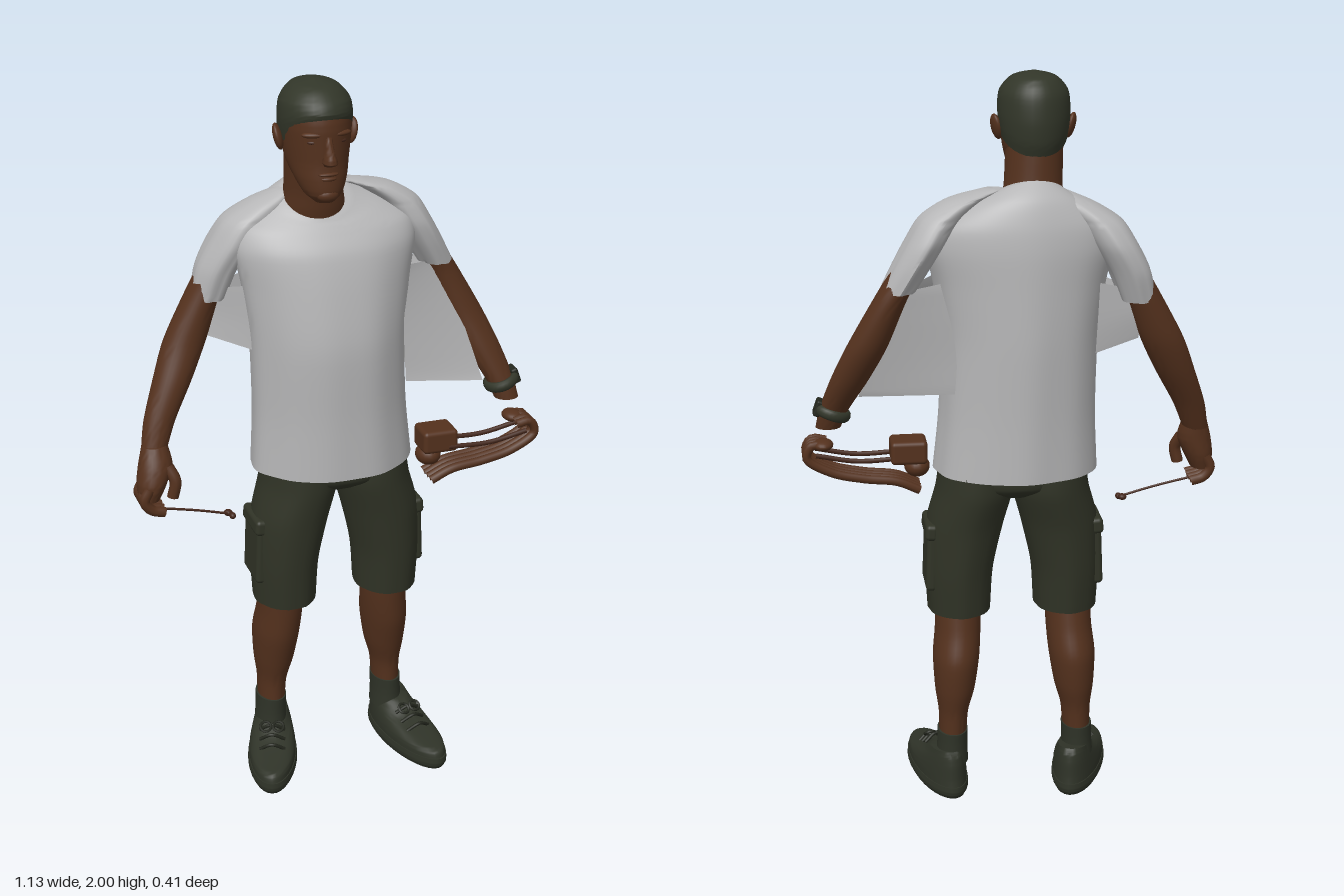
import * as THREE from 'three';
import { toCreasedNormals } from 'three/addons/utils/BufferGeometryUtils.js';
import { RoundedBoxGeometry } from 'three/addons/geometries/RoundedBoxGeometry.js';

const mat = (name, color, side = THREE.FrontSide) => {
  const m = new THREE.MeshStandardMaterial({ color, side });
  m.name = name;
  return m;
};

export function createModel() {
  const root = new THREE.Group();
  root.name = 'man';
  const skin = mat('skin', 0x54311d);
  const skinDark = mat('dark skin', 0x43261a);
  const cloth = mat('shirt white', 0xb6b6b7, THREE.DoubleSide);
  const olive = mat('shorts olive', 0x303326);
  const hairMat = mat('hair olive', 0x323629);
  const shoeMat = mat('shoe olive', 0x2f3328);
  const trimMat = mat('trim dark', 0x23261d);

  const add = (name, geo, material, parent = root) => {
    const m = new THREE.Mesh(geo, material);
    m.name = name;
    parent.add(m);
    return m;
  };

  // Smooth body through elliptical rings [x, y, z, rx, rz, tilt], listed upward
  function loft(rings, { sides = 32, steps = 5, ripple = 0 } = {}) {
    const pos = [], idx = [], n = (rings.length - 1) * steps;
    const curve = new THREE.CatmullRomCurve3(rings.map(r => new THREE.Vector3(r[0], r[1], r[2])), false, 'catmullrom', 0.4);
    const radii = new THREE.CatmullRomCurve3(rings.map(r => new THREE.Vector3(r[3], r[4], r[5] || 0)), false, 'catmullrom', 0.4);
    for (let i = 0; i <= n; i++) {
      const c = curve.getPoint(i / n), r = radii.getPoint(i / n);
      for (let j = 0; j < sides; j++) {
        const a = (j / sides) * Math.PI * 2;
        const w = 1 + ripple * (1 - i / n) * (Math.sin(7 * a) + 0.6 * Math.sin(11 * a + 1));
        const dz = Math.sin(a) * r.y * w;
        pos.push(c.x + Math.cos(a) * r.x * w, c.y + r.z * dz, c.z + dz);
      }
    }
    for (let i = 0; i < n; i++) for (let j = 0; j < sides; j++) {
      const k = (j + 1) % sides, a = i * sides + j, b = i * sides + k;
      idx.push(a, a + sides, b, b, a + sides, b + sides);
    }
    const lo = pos.length / 3, top = n * sides, last = rings[rings.length - 1];
    pos.push(...rings[0].slice(0, 3), ...last.slice(0, 3));
    for (let j = 0; j < sides; j++) {
      const k = (j + 1) % sides;
      idx.push(lo, j, k, lo + 1, top + k, top + j);
    }
    const g = new THREE.BufferGeometry();
    g.setAttribute('position', new THREE.Float32BufferAttribute(pos, 3));
    g.setIndex(idx);
    return toCreasedNormals(g, 1);
  }
  const mirror = (s, rings) => rings.map(([x, ...rest]) => [x * s, ...rest]);
  const path = pts => new THREE.CatmullRomCurve3(pts.map(p => new THREE.Vector3(...p)));
  const tube = (pts, r, seg = 20) => new THREE.TubeGeometry(path(pts), seg, r, 8);
  const ball = (name, p, s, material) => {
    const m = add(name, new THREE.SphereGeometry(1, 20, 14), material);
    m.position.set(...p);
    m.scale.set(...s);
    return m;
  };
  // Ruled sheet stretched between two edge curves
  function sheet(edgeA, edgeB, n = 10) {
    const A = path(edgeA), B = path(edgeB), pos = [], idx = [];
    for (let i = 0; i <= n; i++) pos.push(...A.getPoint(i / n).toArray(), ...B.getPoint(i / n).toArray());
    for (let i = 0; i < n; i++) idx.push(2 * i, 2 * i + 2, 2 * i + 1, 2 * i + 1, 2 * i + 2, 2 * i + 3);
    const g = new THREE.BufferGeometry();
    g.setAttribute('position', new THREE.Float32BufferAttribute(pos, 3));
    g.setIndex(idx);
    g.computeVertexNormals();
    return g;
  }

  // Head, neck and hair
  const X = -0.06;
  add('neck', loft([[-0.05, 1.6, -0.05, 0.085, 0.085], [-0.052, 1.66, -0.035, 0.083, 0.083], [-0.055, 1.71, -0.025, 0.077, 0.08],
    [X, 1.81, -0.008, 0.075, 0.088]]), skin);
  add('head', loft([[X, 1.7, 0.085, 0.025, 0.025], [X, 1.722, 0.07, 0.05, 0.056], [X, 1.76, 0.047, 0.068, 0.08],
    [X, 1.8, 0.018, 0.08, 0.106], [X, 1.85, 0.013, 0.087, 0.112], [X, 1.9, 0.01, 0.091, 0.115],
    [X, 1.95, 0.005, 0.086, 0.104], [X, 1.985, 0, 0.05, 0.06]]), skin);
  add('hair', loft([[X, 1.842, 0.008, 0.088, 0.105, 0.5], [X, 1.872, 0.007, 0.093, 0.115, 0.42], [X, 1.905, 0.006, 0.095, 0.118, 0.22],
    [X, 1.95, 0.004, 0.089, 0.107, 0.05], [X, 1.985, 0, 0.058, 0.074], [X, 2, 0, 0.004, 0.004]]), hairMat);
  add('nose', loft([[X, 1.802, 0.128, 0.014, 0.012], [X, 1.812, 0.132, 0.019, 0.028], [X, 1.835, 0.125, 0.013, 0.026],
    [X, 1.875, 0.115, 0.009, 0.012]], { sides: 16 }), skin);
  ball('upperLip', [X, 1.778, 0.119], [0.027, 0.006, 0.012], skin);
  ball('lowerLip', [X, 1.766, 0.117], [0.023, 0.007, 0.013], skin);
  ball('chin', [X, 1.722, 0.108], [0.03, 0.02, 0.022], skin);
  for (const s of [-1, 1]) {
    ball('brow', [X + s * 0.037, 1.879, 0.107], [0.03, 0.008, 0.013], skin).rotation.y = s * 0.3;
    ball('eye', [X + s * 0.037, 1.86, 0.108], [0.016, 0.005, 0.007], skinDark).rotation.y = s * 0.3;
    const ear = ball('ear', [X + s * 0.098, 1.855, 0.005], [0.012, 0.035, 0.024], skin);
    ear.rotation.set(-0.15, s * 0.35, -s * 0.2);
  }

  // Shirt body, sloping shoulders with sleeves, and stretched cloth under the arms
  add('shirtBody', loft([[-0.01, 0.935, -0.022, 0.224, 0.176], [-0.015, 1.1, -0.022, 0.212, 0.175], [-0.02, 1.3, -0.022, 0.212, 0.177],
    [-0.02, 1.45, -0.032, 0.23, 0.163], [-0.02, 1.55, -0.043, 0.25, 0.148], [-0.02, 1.61, -0.053, 0.235, 0.128, -0.08],
    [-0.03, 1.655, -0.05, 0.165, 0.107, -0.3], [-0.047, 1.684, -0.031, 0.09, 0.077, -0.62]], { sides: 64, ripple: 0.01 }), cloth);
  add('rightSleeve', loft([[-0.325, 1.41, -0.1, 0.048, 0.058], [-0.3, 1.49, -0.1, 0.056, 0.077], [-0.262, 1.56, -0.095, 0.06, 0.088],
    [-0.222, 1.62, -0.085, 0.061, 0.08], [-0.165, 1.665, -0.075, 0.05, 0.06], [-0.105, 1.7, -0.065, 0.03, 0.03]], { ripple: 0.04 }), cloth);
  add('leftSleeve', loft([[0.308, 1.45, -0.09, 0.047, 0.066], [0.268, 1.52, -0.088, 0.052, 0.082], [0.233, 1.58, -0.085, 0.054, 0.088],
    [0.193, 1.64, -0.08, 0.055, 0.075], [0.13, 1.682, -0.072, 0.048, 0.055], [0.055, 1.705, -0.062, 0.03, 0.03]], { ripple: 0.04 }), cloth);
  const leftEdge = [[0.33, 1.44, -0.1], [0.36, 1.34, -0.06], [0.395, 1.2, 0], [0.41, 1.125, 0.04]];
  add('leftClothFront', sheet([[0.2, 1.47, 0], [0.17, 1.32, 0.06], [0.17, 1.17, 0.08]], leftEdge), cloth);
  add('leftClothBack', sheet([[0.2, 1.47, -0.12], [0.165, 1.32, -0.12], [0.155, 1.17, -0.12]], leftEdge), cloth);
  const rightEdge = [[-0.34, 1.43, -0.1], [-0.335, 1.37, -0.1], [-0.33, 1.3, -0.09]];
  for (const z of [0, -0.12])
    add('rightCloth', sheet([[-0.22, 1.46, z], [-0.215, 1.36, z], [-0.21, 1.27, z]], rightEdge), cloth);

  // Arms
  add('rightArm', loft([[-0.508, 1.02, -0.012, 0.034, 0.03], [-0.483, 1.1, -0.035, 0.043, 0.036], [-0.437, 1.2, -0.065, 0.053, 0.047],
    [-0.393, 1.3, -0.09, 0.058, 0.05], [-0.335, 1.43, -0.1, 0.046, 0.052], [-0.275, 1.54, -0.1, 0.042, 0.06]]), skin);
  add('leftArm', loft([[0.495, 1.055, 0.008, 0.034, 0.032], [0.478, 1.11, -0.008, 0.04, 0.036], [0.437, 1.2, -0.045, 0.051, 0.046],
    [0.39, 1.3, -0.08, 0.054, 0.05], [0.328, 1.43, -0.1, 0.044, 0.05], [0.255, 1.55, -0.09, 0.04, 0.06]]), skin);

  // Right hand holding a thin rod
  add('rightPalm', loft([[-0.53, 0.9, 0.012, 0.028, 0.04], [-0.522, 0.94, 0.01, 0.04, 0.049], [-0.508, 0.99, 0.002, 0.046, 0.043],
    [-0.505, 1.04, -0.012, 0.035, 0.03]]), skin);
  for (let i = 0; i < 4; i++) {
    const z = -0.025 + i * 0.024;
    add('rightFinger', tube([[-0.535, 0.94, z], [-0.55, 0.905, z], [-0.532, 0.878, z], [-0.497, 0.867, z]], 0.0145), skin);
  }
  add('rightThumb', tube([[-0.48, 0.99, 0.025], [-0.464, 0.95, 0.04], [-0.472, 0.905, 0.04]], 0.016), skin);
  add('rod', tube([[-0.52, 0.868, 0.014], [-0.4, 0.842, 0.014], [-0.31, 0.818, 0.014]], 0.0035), skinDark);
  ball('rodKnob', [-0.312, 0.818, 0.006], [0.012, 0.009, 0.012], skinDark);
  ball('rodKnob', [-0.304, 0.815, 0.022], [0.009, 0.009, 0.012], skinDark);

  // Wrist watch
  const watch = new THREE.Group();
  watch.name = 'watch';
  watch.position.set(0.483, 1.1, -0.003);
  watch.rotation.z = 0.35;
  root.add(watch);
  const band = add('watchBand', new THREE.TorusGeometry(0.04, 0.011, 10, 28), hairMat, watch);
  band.rotation.x = Math.PI / 2;
  band.scale.z = 1.4;
  add('watchCase', new RoundedBoxGeometry(0.02, 0.045, 0.045, 2, 0.006), trimMat, watch).position.x = 0.04;

  // Left hand: long stretched fingers, thin bars and a block of palm
  for (let i = 0; i < 4; i++) {
    const z = 0.01 + i * 0.022;
    add('longFinger', tube([[0.5, 0.995, z], [0.54, 1.0, z], [0.555, 0.965, z], [0.49, 0.922, z], [0.4, 0.9, z],
      [0.31, 0.888, z], [0.25, 0.862, z]], 0.0125, 40), skin);
  }
  for (const z of [0.01, 0.075])
    add('thinBar', tube([[0.3, 0.955, z], [0.42, 0.952, z], [0.53, 0.972, z]], 0.007), skinDark);
  add('leftPalm', new RoundedBoxGeometry(0.1, 0.065, 0.09, 3, 0.012), skin).position.set(0.278, 0.972, 0.035);
  ball('palmHeel', [0.255, 0.925, 0.035], [0.035, 0.03, 0.04], skin);
  ball('wristStub', [0.51, 1.0, 0.02], [0.028, 0.016, 0.035], skin);

  // Shorts, legs and shoes
  add('shortsHips', loft([[0, 0.868, -0.022, 0.11, 0.085], [0, 0.9, -0.025, 0.19, 0.133], [0, 0.95, -0.025, 0.2, 0.14]]), olive);
  for (const s of [-1, 1]) {
    const side = s > 0 ? 'left' : 'right';
    add(side + 'ShortsLeg', loft(mirror(s, [[0.148, 0.53, -0.02, 0.087, 0.105], [0.147, 0.65, -0.02, 0.094, 0.115],
      [0.13, 0.78, -0.02, 0.106, 0.125], [0.104, 0.88, -0.025, 0.106, 0.138], [0.1, 0.95, -0.025, 0.1, 0.138]]), { ripple: 0.012 }), olive);
    const pocket = add(side + 'Pocket', new RoundedBoxGeometry(0.03, 0.16, 0.13, 3, 0.012), olive);
    pocket.position.set(s * 0.227, 0.68, -0.025);
    pocket.rotation.z = s * 0.04;
    const flap = add(side + 'PocketFlap', new RoundedBoxGeometry(0.034, 0.045, 0.14, 3, 0.012), olive);
    flap.position.set(s * 0.227, 0.77, -0.025);
    flap.rotation.z = s * 0.08;
    add(side + 'LowerLeg', loft(mirror(s, [[0.175, 0.15, -0.075, 0.037, 0.055], [0.172, 0.24, -0.075, 0.041, 0.06],
      [0.167, 0.31, -0.072, 0.055, 0.077], [0.162, 0.4, -0.062, 0.064, 0.092], [0.155, 0.48, -0.045, 0.063, 0.085],
      [0.153, 0.58, -0.03, 0.064, 0.078]])), skin);
    add(side + 'Sock', loft(mirror(s, [[0.177, 0.09, -0.075, 0.045, 0.062], [0.176, 0.14, -0.075, 0.042, 0.06], [0.175, 0.185, -0.075, 0.042, 0.062]])), shoeMat);

    const shoe = new THREE.Group();
    shoe.name = side + 'Shoe';
    shoe.position.set(s > 0 ? 0.21 : -0.194, 0, s > 0 ? 0.022 : -0.002);
    shoe.rotation.y = s > 0 ? 0.2 : -0.3;
    root.add(shoe);
    add('sole', loft([[0, 0, 0, 0.064, 0.178], [0, 0.015, 0, 0.071, 0.187], [0, 0.035, 0, 0.069, 0.186]]), shoeMat, shoe);
    add('upper', loft([[0, 0.028, 0, 0.067, 0.184], [0, 0.055, -0.004, 0.066, 0.176], [0, 0.08, -0.03, 0.059, 0.147, -0.1],
      [0, 0.105, -0.07, 0.049, 0.1, -0.2], [0, 0.128, -0.098, 0.042, 0.065, -0.12]]), shoeMat, shoe);
    for (let i = 0; i < 3; i++) {
      const y = 0.084 + i * 0.013, z = 0.07 - i * 0.032;
      add('lace', tube([[-0.036, y - 0.012, z - 0.01], [0, y + 0.008, z], [0.036, y - 0.012, z - 0.01]], 0.005), trimMat, shoe);
    }
    for (const t of [-1, 1]) {
      const bow = add('laceBow', new THREE.TorusGeometry(0.015, 0.004, 6, 16), trimMat, shoe);
      bow.position.set(t * 0.018, 0.117, 0.012);
      bow.rotation.x = -0.9;
    }
  }
  return root;
}
